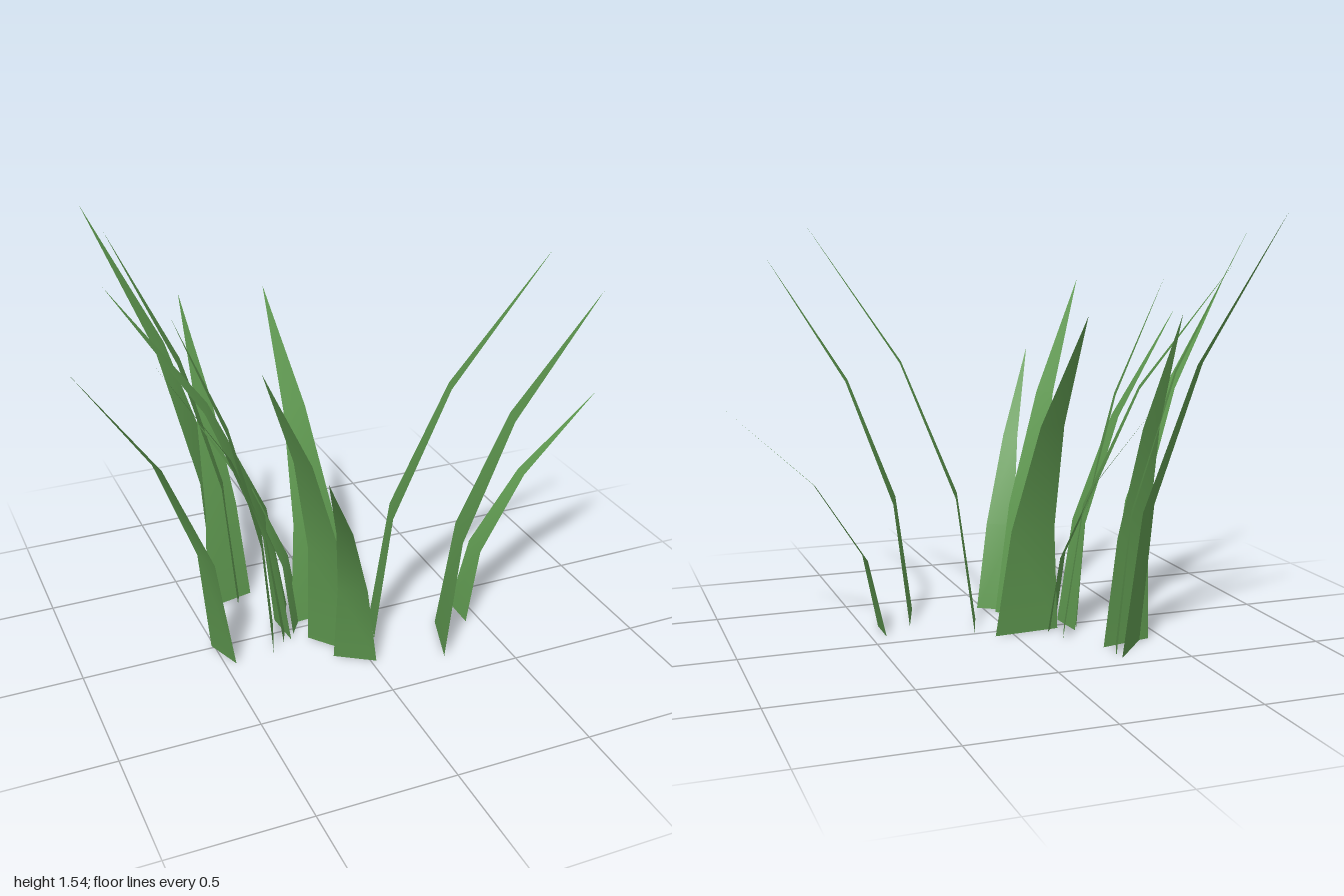
import * as THREE from 'three';

// Each blade: base centre x, z, base width, tip x, y, z
const BLADES = [
  [-0.335, -0.353, 0.22, -0.725, 1.54, -0.687],
  [-0.287, -0.33, 0.187, -0.687, 1.49, -0.5],
  [-0.348, -0.283, 0.2, -0.41, 1.2, -0.56],
  [-0.055, -0.045, 0.25, -0.09, 1.2, -0.52],
  [-0.2, -0.05, 0.267, -0.752, 1.36, -0.286],
  [-0.28, 0.035, 0.19, -0.58, 1.3, -0.072],
  [-0.225, -0.01, 0.15, -0.67, 1.175, 0.024],
  [-0.163, -0.02, 0.125, -0.47, 0.84, -0.23],
  [-0.485, 0.059, 0.15, -1.0, 1.29, 0.24],
  [-0.093, 0.158, 0.204, -0.44, 1.27, 0.43],
  [-0.047, 0.27, 0.16, -0.32, 0.98, 0.68],
  [0.1, 0.095, 0.18, 0.67, 1.49, 0.29],
  [0.298, 0.277, 0.228, 0.79, 1.37, 0.434],
  [0.445, 0.143, 0.138, 0.99, 0.85, 0.15],
];

// Width left at each third of the height
const TAPER = [1, 0.68, 0.36];

// A flat strip that bends outward with the square of its height and ends in a point
function bladeGeometry([x, z, width, tipX, tipY, tipZ]) {
  const dx = tipX - x, dz = tipZ - z;
  const reach = Math.hypot(dx, dz);
  const sideX = dz / reach, sideZ = -dx / reach;
  const positions = [], indices = [];
  TAPER.forEach((taper, i) => {
    const t = i / 3;
    const half = width * taper / 2;
    for (const s of [-1, 1]) {
      positions.push(x + dx * t * t + s * sideX * half, tipY * t, z + dz * t * t + s * sideZ * half);
    }
    const a = i * 2;
    if (i < 2) indices.push(a, a + 2, a + 1, a + 1, a + 2, a + 3);
    else indices.push(a, a + 2, a + 1);
  });
  positions.push(tipX, tipY, tipZ);
  const geometry = new THREE.BufferGeometry();
  geometry.setAttribute('position', new THREE.Float32BufferAttribute(positions, 3));
  geometry.setIndex(indices);
  geometry.computeVertexNormals();
  return geometry;
}

export function createModel() {
  const group = new THREE.Group();
  group.name = 'grassTuft';
  const green = new THREE.MeshStandardMaterial({ color: 0x5f9950, side: THREE.DoubleSide });
  green.name = 'grassGreen';
  BLADES.forEach((blade, i) => {
    const mesh = new THREE.Mesh(bladeGeometry(blade), green);
    mesh.name = `grassBlade${i + 1}`;
    group.add(mesh);
  });
  return group;
}
